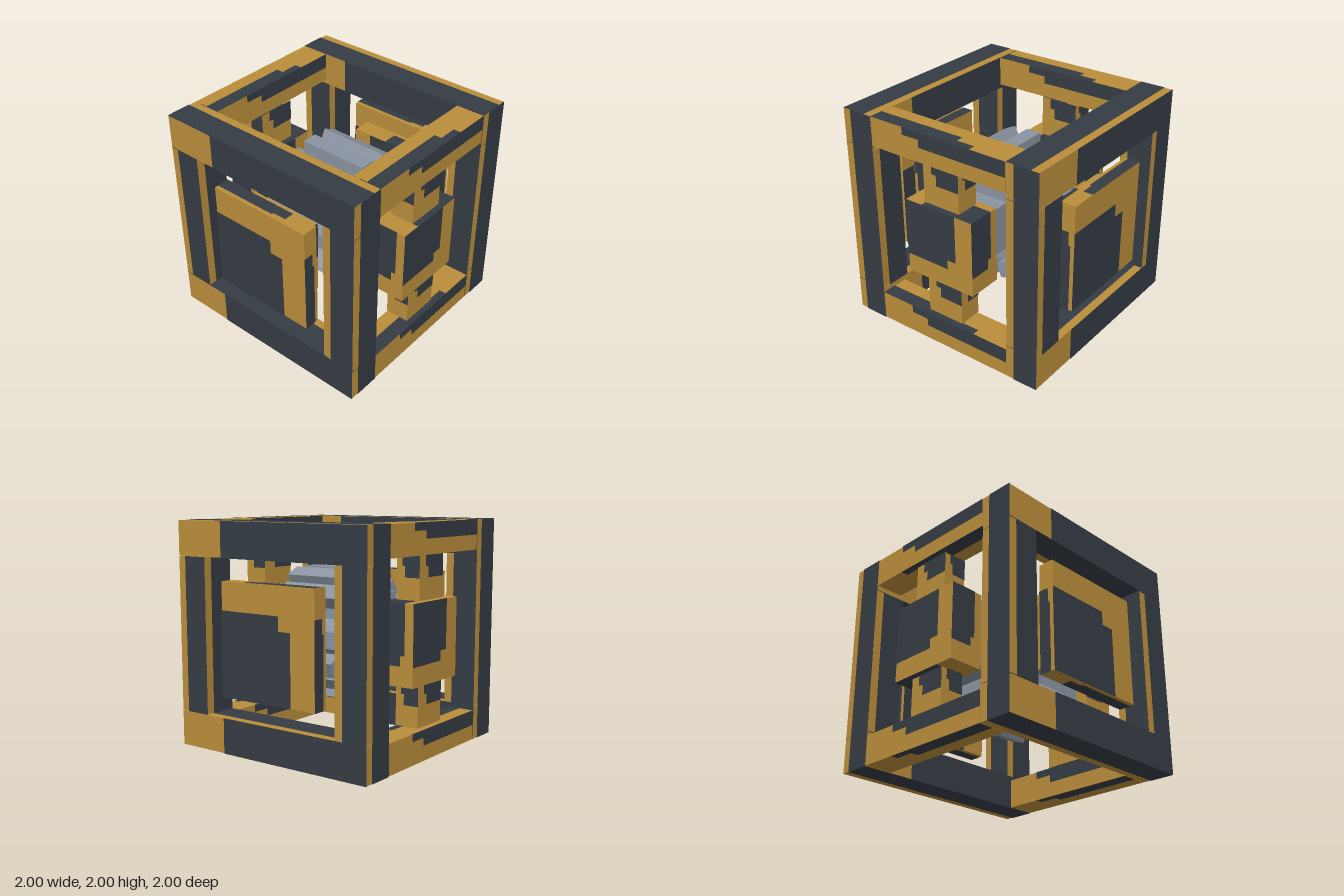
import * as THREE from 'three';
import { mergeGeometries } from 'three/addons/utils/BufferGeometryUtils.js';

const mat = (name, color) => {
  const m = new THREE.MeshStandardMaterial({ color });
  m.name = name;
  return m;
};

// Painted areas as outlines in the 0..1 space of a box face
const STRIP = [[0.25, 0], [1, 0], [1, 1], [0.25, 1]];
const HALF = [[0.375, 0.5], [1, 0.5], [1, 1], [0.25, 1], [0.25, 0.75], [0.375, 0.75]];
const UPPER = [[0, 0.375], [0.625, 0.375], [0.625, 0.25], [0, 0.25]];
const BLOCK = [[0, 0.25], [0.625, 0.25], [0.625, 0.375], [0.75, 0.375], [0.75, 1], [0, 1]];
const PLATE = [[0, 0], [0.75, 0], [0.75, 0.625], [0.625, 0.625], [0.625, 0.75], [0, 0.75]];

export function createModel() {
  const root = new THREE.Group();
  root.name = 'cubeMachine';
  const ochre = mat('ochre', 0xba8e3b);
  const dark = mat('charcoal', 0x353c44);
  const steel = mat('steelGrey', 0x8a94a1);
  const SKIN = 0.003;

  // One flat painted patch, turned half round on the top and bottom faces
  function patch(outline, w, h, flip) {
    const pts = outline.map(([u, v]) => {
      const a = (u - 0.5) * w, b = (v - 0.5) * h;
      return flip ? new THREE.Vector2(-a, -b) : new THREE.Vector2(a, b);
    });
    return new THREE.ShapeGeometry(new THREE.Shape(pts));
  }

  // Ochre box with the same dark pattern on all six faces
  function paintedBox(name, [x0, x1], [y0, y1], [z0, z1], outline) {
    const w = x1 - x0, h = y1 - y0, d = z1 - z0;
    const g = new THREE.Group();
    g.name = name;
    g.position.set((x0 + x1) / 2, (y0 + y1) / 2, (z0 + z1) / 2);
    const body = new THREE.Mesh(
      new THREE.BoxGeometry(w - 2 * SKIN, h - 2 * SKIN, d - 2 * SKIN), ochre);
    body.name = name + 'Body';
    const faces = [];
    for (const turn of [0, Math.PI]) {
      faces.push(patch(outline, w, h).translate(0, 0, d / 2).rotateY(turn));
      faces.push(patch(outline, d, h).translate(0, 0, w / 2).rotateY(Math.PI / 2 + turn));
    }
    for (const s of [1, -1]) {
      faces.push(patch(outline, w, d, true).translate(0, 0, h / 2).rotateX(-s * Math.PI / 2));
    }
    const paint = new THREE.Mesh(mergeGeometries(faces), dark);
    paint.name = name + 'Paint';
    g.add(body, paint);
    root.add(g);
  }

  // Range on the positive or negative side of an axis
  const side = (s, a, b) => (s > 0 ? [a, b] : [-b, -a]);

  for (const s of [1, -1]) {
    const lr = s > 0 ? 'left' : 'right';
    const fb = s > 0 ? 'front' : 'back';

    // Outer cube frame
    for (const [level, y] of [['Lower', [0, 0.315]], ['Upper', [1.69, 2]]]) {
      paintedBox(lr + level + 'Rail', side(s, 0.69, 1), y, [-1, 1], STRIP);
    }
    for (const t of [1, -1]) {
      paintedBox(lr + (t > 0 ? 'Front' : 'Back') + 'Post',
        side(s, 0.69, 1), [0.315, 1.69], side(t, 0.69, 1), STRIP);
    }
    for (const [level, y] of [['Lower', [0, 0.275]], ['Upper', [1.73, 2]]]) {
      paintedBox(fb + level + 'Crossbar', [-0.69, 0.69], y, side(s, 0.73, 1), HALF);
    }

    // Bearing block held by two struts
    paintedBox(fb + 'BearingBlock', [-0.35, 0.35], [0.65, 1.35], side(s, 0.67, 1), BLOCK);
    paintedBox(fb + 'UpperStrut', [-0.185, 0.185], [1.35, 1.73], side(s, 0.725, 0.95), HALF);
    paintedBox(fb + 'LowerStrut', [-0.185, 0.185], [0.275, 0.65], side(s, 0.725, 0.95), HALF);

    // Side panel with a smaller block on its inner face
    paintedBox(lr + 'SidePanel', side(s, 0.85, 1), [0.5, 1.5], [-0.5, 0.5], PLATE);
    paintedBox(lr + 'InnerBlock', side(s, 0.67, 0.9), [0.65, 1.35], [-0.35, 0.35], HALF);
  }

  // Rotor on its axle
  const rotor = new THREE.Group();
  rotor.name = 'rotor';
  rotor.position.y = 1;
  root.add(rotor);
  function steelBox(name, w, h, d, angle = 0, r = 0) {
    const m = new THREE.Mesh(new THREE.BoxGeometry(w, h, d), steel);
    const a = THREE.MathUtils.degToRad(angle);
    m.name = name;
    m.position.set(r * Math.cos(a), r * Math.sin(a), 0);
    m.rotation.z = a;
    rotor.add(m);
  }
  steelBox('axle', 0.45, 0.45, 1.96);
  steelBox('rotorCore', 0.7, 0.7, 0.74);
  steelBox('rotorCoreTurned', 0.72, 0.72, 0.69, 45);

  // Rotor teeth: angle in degrees, distance from the axle
  const teeth = [
    [0, 0.44], [180, 0.44], [90, 0.505], [270, 0.505],
    [45, 0.495], [135, 0.495], [225, 0.495], [315, 0.495],
    [155, 0.525], [335, 0.525], [64, 0.535], [117, 0.53], [243, 0.545], [289, 0.53],
  ];
  for (const [angle, r] of teeth) steelBox('rotorTooth', 0.145, 0.145, 0.66, angle, r);

  return root;
}
